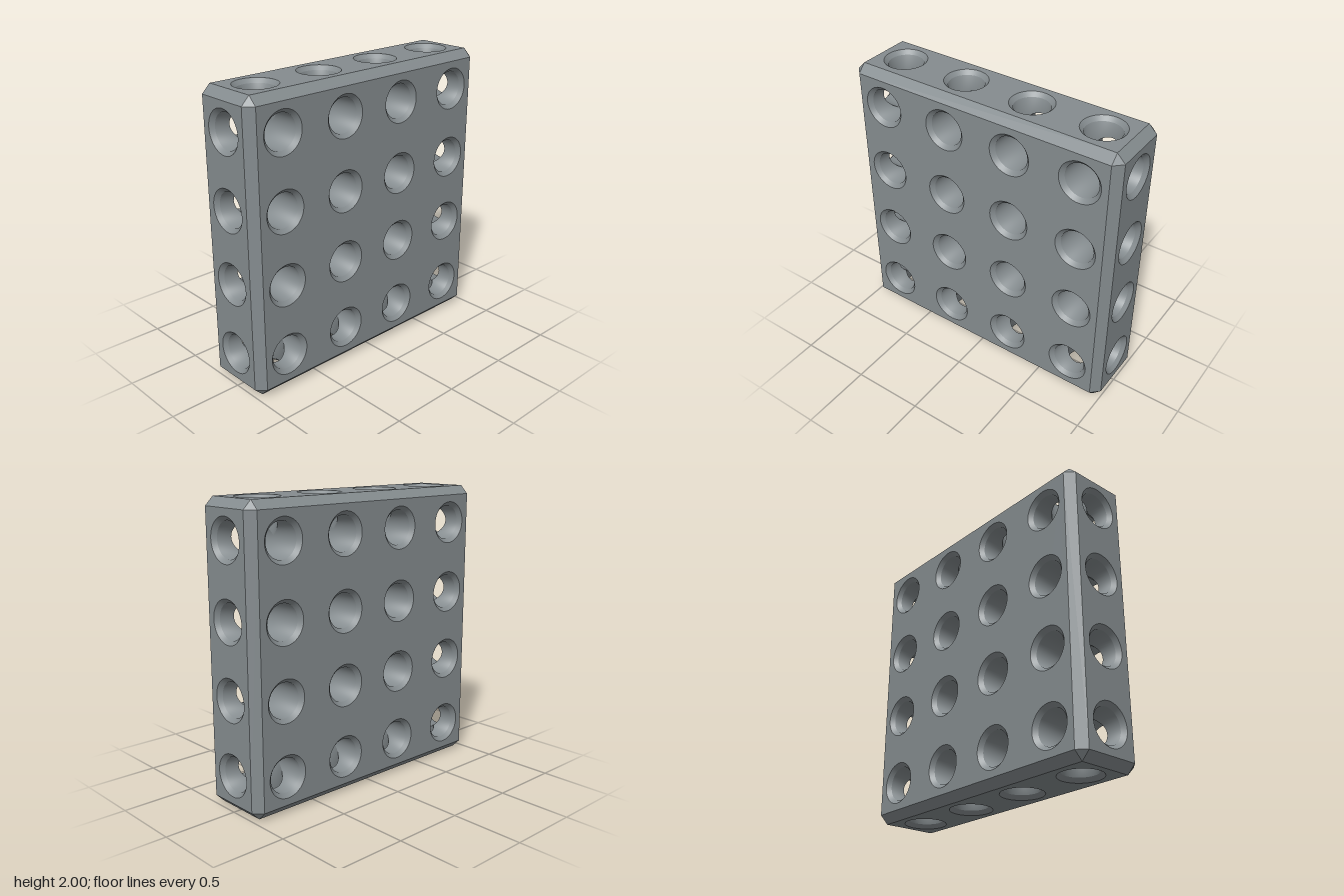
import * as THREE from 'three';
import { mergeGeometries } from 'three/addons/utils/BufferGeometryUtils.js';

const HALF = [1, 1, 0.25];                       // half extents of the block
const ROWS = [-0.75, -0.25, 0.25, 0.75];
const GRID = [ROWS, ROWS, [0]];                  // hole positions along each axis
const BEVEL = 0.057, BORE = 0.118, RIM = 0.145, SINK = RIM - BORE, SIDES = 64;

const axisVector = (k, s = 1) => new THREE.Vector3().setComponent(k % 3, s);

// Right-handed frame of the block side facing s along axis k
function sideFrame(k, s) {
  return { n: axisVector(k, s), u: axisVector(k + 1), v: axisVector(k + 2, s) };
}

// Flat side with its round openings
function sideGeometry(k, s) {
  const { n, u, v } = sideFrame(k, s);
  const a = (k + 1) % 3, b = (k + 2) % 3;
  const w = HALF[a] - BEVEL, h = HALF[b] - BEVEL;
  const shape = new THREE.Shape([[-w, -h], [w, -h], [w, h], [-w, h]].map(p => new THREE.Vector2(...p)));
  for (const p of GRID[a]) for (const q of GRID[b]) {
    const hole = new THREE.Path();
    hole.absarc(p, q * s, RIM, 0, Math.PI * 2, true);
    shape.holes.push(hole);
  }
  const m = new THREE.Matrix4().makeBasis(u, v, n).setPosition(n.clone().multiplyScalar(HALF[k]));
  return new THREE.ShapeGeometry(shape, SIDES / 2).applyMatrix4(m);
}

// Bevelled edges and triangular corners
function bevelGeometry() {
  const pos = [];
  const triangle = (a, b, c) => {
    const normal = b.clone().sub(a).cross(c.clone().sub(a));
    const outward = normal.dot(a.clone().add(b).add(c)) > 0;
    for (const p of outward ? [a, b, c] : [a, c, b]) pos.push(p.x, p.y, p.z);
  };
  // Corner point that lies on the side facing axis k
  const corner = (signs, k) => new THREE.Vector3(
    ...signs.map((s, i) => s * (HALF[i] - (i === k ? 0 : BEVEL))));
  for (const s of [-1, 1]) for (const t of [-1, 1]) {
    for (let k = 0; k < 3; k++) {
      const a = (k + 1) % 3, b = (k + 2) % 3;
      const ends = [-1, 1].map(e => {
        const signs = [0, 0, 0];
        signs[k] = e; signs[a] = s; signs[b] = t;
        return [corner(signs, a), corner(signs, b)];
      });
      triangle(ends[0][0], ends[0][1], ends[1][0]);
      triangle(ends[1][0], ends[0][1], ends[1][1]);
    }
    for (const r of [-1, 1]) triangle(...[0, 1, 2].map(k => corner([r, s, t], k)));
  }
  const g = new THREE.BufferGeometry();
  g.setAttribute('position', new THREE.Float32BufferAttribute(pos, 3));
  g.computeVertexNormals();
  return g;
}

// Inward-facing ring wall; low and high return [radius, distance, normal tilt] for a radial direction
function ringWall(center, { n, u, v }, low, high) {
  const pos = [], nor = [], index = [];
  for (let i = 0; i <= SIDES; i++) {
    const t = i / SIDES * Math.PI * 2;
    const d = u.clone().multiplyScalar(Math.cos(t)).addScaledVector(v, Math.sin(t));
    for (const [r, z, tilt] of [low(d), high(d)]) {
      pos.push(...center.clone().addScaledVector(d, r).addScaledVector(n, z).toArray());
      nor.push(...d.clone().negate().addScaledVector(n, tilt).normalize().toArray());
    }
    const a = i * 2;
    if (i < SIDES) index.push(a, a + 1, a + 2, a + 2, a + 1, a + 3);
  }
  const g = new THREE.BufferGeometry();
  g.setAttribute('position', new THREE.Float32BufferAttribute(pos, 3));
  g.setAttribute('normal', new THREE.Float32BufferAttribute(nor, 3));
  g.setIndex(index);
  return g;
}

// Bores that meet at one grid point, trimmed where they run into each other
function junction(x, y) {
  const center = new THREE.Vector3(x, y, 0);
  const arms = [[2, 1], [2, -1]];
  if (Math.abs(x) === 0.75) arms.push([0, Math.sign(x)]);
  if (Math.abs(y) === 0.75) arms.push([1, Math.sign(y)]);
  const bores = [], rims = [];
  for (const [k, s] of arms) {
    const frame = sideFrame(k, s);
    const length = HALF[k] - Math.abs(center.getComponent(k));
    const others = arms.filter(o => o[0] !== k).map(o => axisVector(...o));
    const start = d => [BORE, BORE * Math.max(0, ...others.map(o => o.dot(d))), 0];
    // The bore shades softly towards its neck, the rim stays a crisp cone
    const neck = tilt => () => [BORE, length - SINK, tilt];
    bores.push(ringWall(center, frame, start, neck(0.35)));
    rims.push(ringWall(center, frame, neck(1), () => [RIM, length, 1]));
  }
  return { bores, rims };
}

export function createModel() {
  const model = new THREE.Group();
  model.name = 'perforatedBlock';
  const material = new THREE.MeshStandardMaterial({ color: 0x858c8f });
  const add = (name, geometry) => {
    const mesh = new THREE.Mesh(geometry, material);
    mesh.name = name;
    mesh.position.y = HALF[1];
    model.add(mesh);
  };

  const names = [['rightSide', 'leftSide'], ['bottomSide', 'topSide'], ['backSide', 'frontSide']];
  names.forEach((pair, k) => pair.forEach((name, i) => add(name, sideGeometry(k, i * 2 - 1))));
  add('bevelledEdges', bevelGeometry());

  const bores = [], rims = [];
  for (const x of ROWS) for (const y of ROWS) {
    const j = junction(x, y);
    bores.push(...j.bores);
    rims.push(...j.rims);
  }
  add('holeBores', mergeGeometries(bores));
  add('holeRims', mergeGeometries(rims));
  return model;
}
